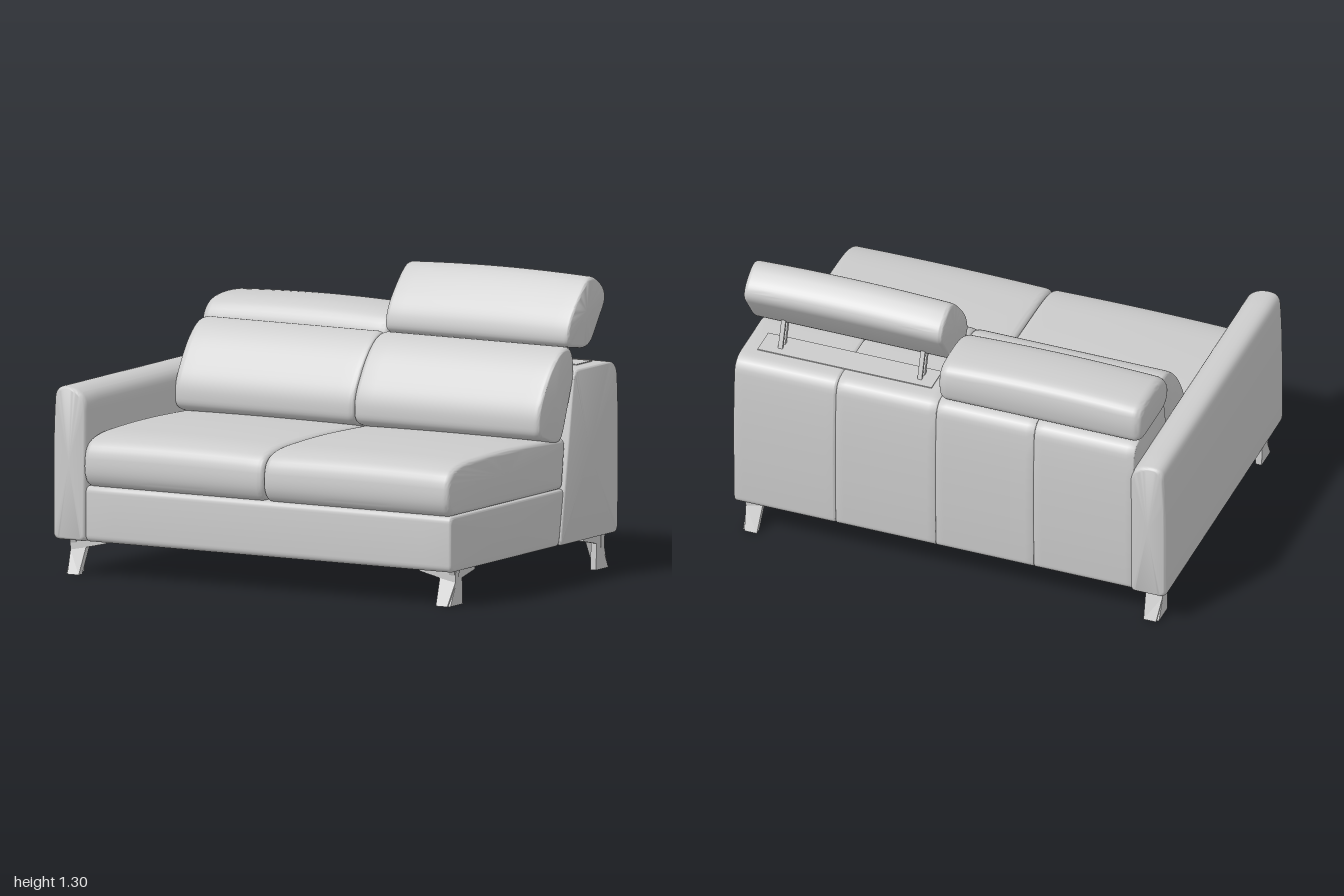
import * as THREE from 'three';
import { toCreasedNormals } from 'three/addons/utils/BufferGeometryUtils.js';

const material = new THREE.MeshStandardMaterial({ color: 0xcccccc });

// Closed outline of a polygon whose corners are rounded; corners are [z, y, radius]
function roundedOutline(corners) {
  const out = [];
  const n = corners.length;
  corners.forEach(([u, v, r = 0.02], i) => {
    const p = new THREE.Vector2(u, v);
    const ends = [corners[(i + n - 1) % n], corners[(i + 1) % n]].map(([a, b]) => {
      const d = new THREE.Vector2(a - u, b - v);
      return p.clone().add(d.setLength(Math.min(r, d.length() * 0.48)));
    });
    out.push(...new THREE.QuadraticBezierCurve(ends[0], p, ends[1]).getPoints(6));
  });
  return THREE.ShapeUtils.area(out) < 0 ? out.reverse() : out;
}

// Padded block: an outline in z/y swept along x, with rounded ends and an optional crown
function padGeometry(corners, x0, x1, { endX = 0.03, inset = 0.03, arch = 0 } = {}) {
  const ring = roundedOutline(corners);
  const box = new THREE.Box2().setFromPoints(ring);
  const mid = box.getCenter(new THREE.Vector2());
  const size = box.getSize(new THREE.Vector2());
  const stations = [];
  for (let i = 0; i <= 6; i++) {
    const a = (i / 6) * Math.PI / 2;
    stations.push([x0 + endX * (1 - Math.cos(a - Math.PI / 2 + Math.PI / 2)), inset * (1 - Math.sin(a))]);
  }
  for (let i = 1; i < 14; i++) stations.push([x0 + endX + (x1 - x0 - 2 * endX) * i / 14, 0]);
  for (let i = 6; i >= 0; i--) {
    const a = (i / 6) * Math.PI / 2;
    stations.push([x1 - endX * (1 - Math.cos(a)), inset * (1 - Math.sin(a))]);
  }
  const pos = [], idx = [], n = ring.length, last = stations.length - 1;
  for (const [x, d] of stations) {
    const t = (2 * x - x0 - x1) / (x1 - x0);
    for (const p of ring) {
      const lift = arch * t * t * (p.y - box.min.y) / size.y;
      pos.push(x, mid.y + (p.y - mid.y) * (1 - 2 * d / size.y) - lift,
        mid.x + (p.x - mid.x) * (1 - 2 * d / size.x));
    }
  }
  for (let i = 0; i < last; i++) {
    for (let j = 0; j < n; j++) {
      const a = i * n + j, b = i * n + (j + 1) % n;
      idx.push(a, a + n, b + n, a, b + n, b);
    }
  }
  // End caps
  const c = pos.length / 3;
  pos.push(x0, mid.y, mid.x, x1, mid.y, mid.x);
  for (let j = 0; j < n; j++) {
    const k = (j + 1) % n;
    idx.push(c, j, k, c + 1, last * n + k, last * n + j);
  }
  const geo = new THREE.BufferGeometry();
  geo.setAttribute('position', new THREE.Float32BufferAttribute(pos, 3));
  geo.setIndex(idx);
  return toCreasedNormals(geo, 0.7);
}

function addMesh(parent, name, geometry) {
  const mesh = new THREE.Mesh(geometry, material);
  mesh.name = name;
  parent.add(mesh);
  return mesh;
}

// Flat plate cut to a polygon
function plate(points, depth) {
  const shape = new THREE.Shape(points.map(([a, b]) => new THREE.Vector2(a, b)));
  return new THREE.ExtrudeGeometry(shape, { depth, bevelEnabled: false });
}

// Angled leg of two blades meeting at the outer corner
function createLeg() {
  const leg = new THREE.Group();
  const side = plate([[0.65, 0], [0.545, 0], [0.55, 0.115], [0.44, 0.138], [0.44, 0.152],
    [0.62, 0.152], [0.6, 0.1]], 0.028);
  side.rotateY(-Math.PI / 2);
  side.translate(0.955, 0, 0);
  addMesh(leg, 'legSideBlade', side);
  const front = plate([[0.945, 0], [0.888, 0], [0.88, 0.115], [0.78, 0.138], [0.78, 0.152],
    [0.96, 0.152], [0.957, 0.1]], 0.03);
  const p = front.attributes.position;
  for (let i = 0; i < p.count; i++) {
    p.setZ(i, p.getZ(i) + 0.582 + 0.048 * Math.max(0, 1 - p.getY(i) / 0.1));
  }
  front.computeVertexNormals();
  addMesh(leg, 'legFrontBlade', front);
  return leg;
}

export function createModel() {
  const sofa = new THREE.Group();
  sofa.name = 'sofa';

  // Seat base
  addMesh(sofa, 'seatBase', padGeometry(
    [[0.695, 0.152, 0.03], [0.695, 0.395, 0.03], [-0.27, 0.395], [-0.23, 0.152]],
    -0.84, 0.98, { endX: 0.015, inset: 0.012 }));

  // Backrest frame, upholstered in four panels with seams between
  const backProfile = [[-0.225, 0.153, 0.02], [-0.345, 0.9, 0.04], [-0.705, 0.9, 0.07],
    [-0.722, 0.6, 0.2], [-0.712, 0.153, 0.03]];
  const seams = [-0.85, -0.39, 0.06, 0.52, 0.988];
  for (let i = 0; i < 4; i++) {
    addMesh(sofa, 'backPanel', padGeometry(backProfile, seams[i], seams[i + 1],
      i === 3 ? { endX: 0.012, inset: 0.008 } : { endX: 0.006, inset: 0.005 }));
  }

  // Armrest, swept from back to front; its outline runs across x
  const arm = padGeometry([[1, 0.152, 0.03], [1, 0.6, 0.2], [0.988, 0.82, 0.05], [0.89, 0.82, 0.05],
    [0.832, 0.775, 0.05], [0.835, 0.152, 0.02]], -0.722, 0.702, { endX: 0.03, inset: 0.016 });
  arm.rotateY(-Math.PI / 2);
  addMesh(sofa, 'armrest', arm);

  // Seat and back cushions, two of each
  for (const [x0, x1] of [[-0.838, 0.055], [0.055, 0.978]]) {
    addMesh(sofa, 'seatCushion', padGeometry(
      [[0.69, 0.393, 0.03], [0.722, 0.46, 0.07], [0.705, 0.585, 0.08], [0.6, 0.625, 0.1],
        [0.25, 0.638, 0.2], [-0.29, 0.622, 0.03], [-0.265, 0.393, 0.02]],
      x0, x1, { endX: 0.03, inset: 0.022, arch: 0.008 }));
    addMesh(sofa, 'backCushion', padGeometry(
      [[-0.05, 0.64, 0.04], [-0.05, 0.75, 0.07], [-0.15, 0.915, 0.12], [-0.255, 1.005, 0.06],
        [-0.345, 1.005, 0.07], [-0.362, 0.89, 0.06], [-0.25, 0.6, 0.06], [-0.19, 0.595, 0.05]],
      x0 + 0.003, x1 + 0.002, { endX: 0.03, inset: 0.016 }));
  }

  // Lowered headrest and raised headrest
  addMesh(sofa, 'loweredHeadrest', padGeometry(
    [[-0.36, 0.9, 0.05], [-0.325, 0.99, 0.06], [-0.385, 1.085, 0.07], [-0.52, 1.104, 0.12],
      [-0.675, 1.09, 0.06], [-0.695, 1.0, 0.08], [-0.68, 0.903, 0.04]],
    -0.87, 0.06, { endX: 0.04, inset: 0.03, arch: 0.014 }));
  addMesh(sofa, 'raisedHeadrest', padGeometry(
    [[-0.298, 1.005, 0.045], [-0.315, 1.11, 0.09], [-0.42, 1.24, 0.1], [-0.505, 1.312, 0.06],
      [-0.615, 1.245, 0.05], [-0.635, 1.185, 0.04], [-0.49, 0.975, 0.06]],
    0.065, 0.977, { endX: 0.02, inset: 0.016, arch: 0.012 }));

  // Headrest brackets: two bars each on a mounting strip
  for (const x of [0.2, 0.84]) {
    const bracket = new THREE.Group();
    bracket.name = 'headrestBracket';
    for (const [z, w] of [[0, 0.02], [-0.035, 0.012]]) {
      const bar = addMesh(bracket, 'bracketBar', plate(
        [[-0.54 + z, 0.88], [-0.54 + z + w, 0.88], [-0.48 + z + w, 1.06], [-0.48 + z, 1.06]], 0.02));
      bar.rotation.y = -Math.PI / 2;
      bar.position.x = x;
    }
    sofa.add(bracket);
  }
  const strip = addMesh(sofa, 'headrestStrip', new THREE.BoxGeometry(0.8, 0.006, 0.13));
  strip.position.set(0.52, 0.901, -0.54);

  // Four legs mirrored to the corners
  for (const sx of [-1, 1]) {
    for (const sz of [-1, 1]) {
      const leg = createLeg();
      leg.name = sz > 0 ? 'frontLeg' : 'backLeg';
      leg.scale.set(sx, 1, sz);
      leg.position.z = sz > 0 ? 0.005 : -0.035;
      sofa.add(leg);
    }
  }

  // Rail joining the legs below the armrest
  const rail = addMesh(sofa, 'legRail', new THREE.BoxGeometry(0.05, 0.043, 1.16));
  rail.position.set(-0.92, 0.1315, -0.015);

  return sofa;
}
